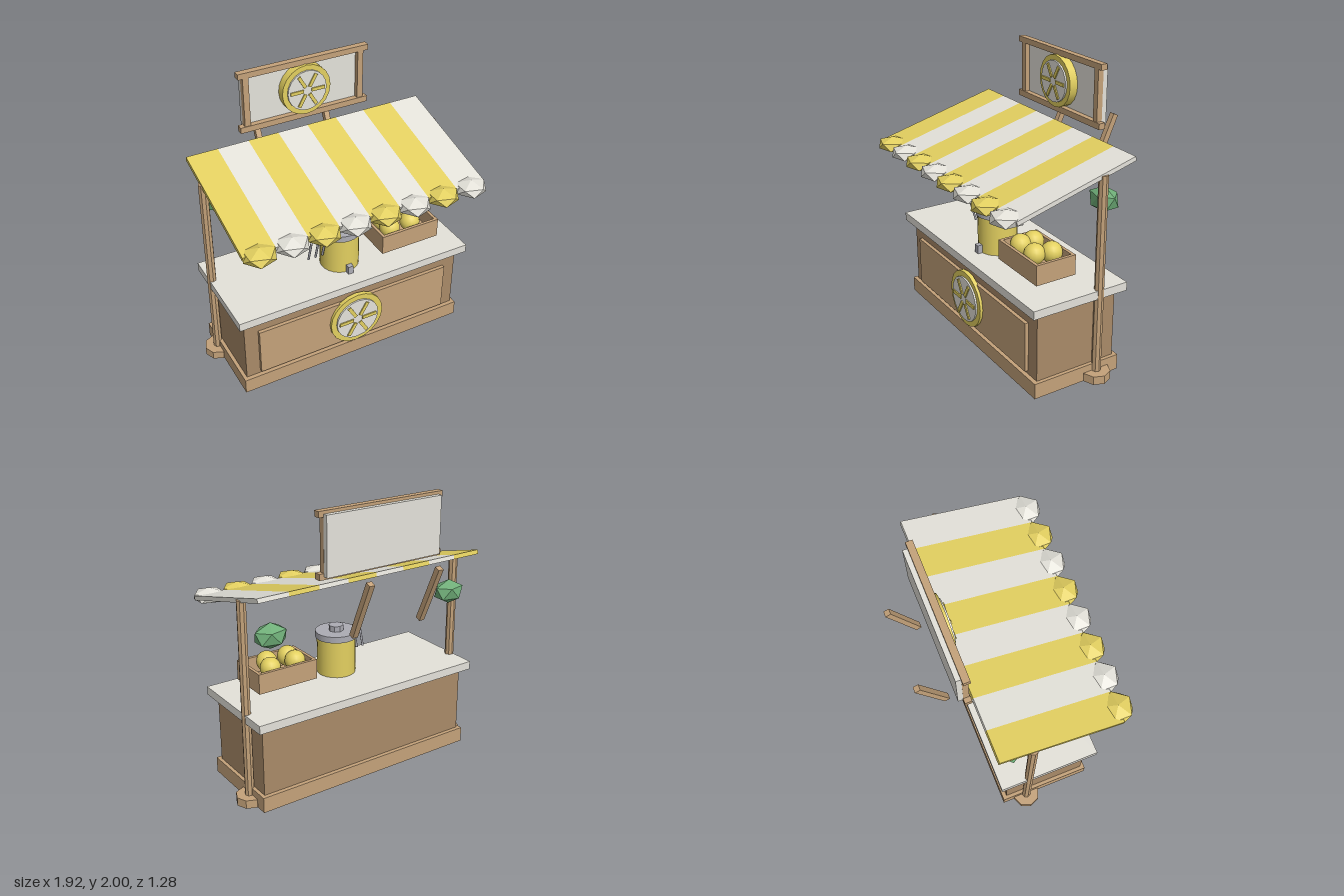
import * as THREE from 'three';

const mat = (color, flatShading = false) => new THREE.MeshStandardMaterial({ color, flatShading });
const wood = mat(0xc4a27a), darkWood = mat(0xa98a68), white = mat(0xe4e2da), yellow = mat(0xe3d060);
const metal = mat(0xacacb4), flatWood = mat(0xc4a27a, true), flatMetal = mat(0xacacb4, true);
const flatYellow = mat(0xe3d060, true), flatWhite = mat(0xe4e2da, true), leaf = mat(0x6fae78, true);

export function createModel() {
  const model = new THREE.Group();

  const add = (name, geometry, material, x, y, z, parent = model) => {
    const mesh = new THREE.Mesh(geometry, material);
    mesh.name = name;
    mesh.position.set(x, y, z);
    parent.add(mesh);
    return mesh;
  };
  // box given by its min/max on each axis
  const box = (name, material, x0, x1, y0, y1, z0, z1, parent) =>
    add(name, new THREE.BoxGeometry(x1 - x0, y1 - y0, z1 - z0), material,
      (x0 + x1) / 2, (y0 + y1) / 2, (z0 + z1) / 2, parent);
  // upright cylinder standing on y0
  const post = (name, material, r, sides, x, y0, y1, z) =>
    add(name, new THREE.CylinderGeometry(r, r, y1 - y0, sides), material, x, (y0 + y1) / 2, z);
  // icosahedron with one corner pointing up
  const gem = (name, material, x, y, z, sx, sy, sz) =>
    add(name, new THREE.IcosahedronGeometry(1, 0).rotateZ(-Math.atan(0.618034)).scale(sx, sy, sz), material, x, y, z);

  // counter
  box('plinth', wood, -0.86, 0.86, 0, 0.11, -0.26, 0.4);
  box('counterBody', darkWood, -0.835, 0.835, 0.11, 0.6, -0.23, 0.37);
  box('frontPanel', wood, -0.735, 0.735, 0.135, 0.49, 0.36, 0.395);
  box('counterTop', white, -0.885, 0.885, 0.6, 0.66, -0.29, 0.43);

  // citrus slice badge: rind, flesh and six segments, stacked towards +z
  const slice = (name, r, y, z, back) => {
    const group = new THREE.Group();
    group.name = name;
    group.position.set(0, y, z);
    model.add(group);
    const disc = (part, radius, z0, z1, material) =>
      add(part, new THREE.CylinderGeometry(radius, radius, z1 - z0, 20).rotateX(Math.PI / 2), material,
        0, 0, (z0 + z1) / 2, group);
    disc('rind', r, -back, -0.02, yellow);
    disc('flesh', r * 0.8, -0.03, -0.008, white);
    for (let i = 0; i < 6; i++) {
      const a = i * Math.PI / 3, d = r * 0.44;
      const bar = add('segment', new THREE.BoxGeometry(r * 0.54, r * 0.13, 0.014), yellow,
        d * Math.cos(a), d * Math.sin(a), -0.007, group);
      bar.rotation.z = a;
    }
  };
  slice('counterBadge', 0.205, 0.33, 0.435, 0.05);
  slice('signBadge', 0.18, 1.785, -0.29, 0.085);

  // posts, feet, hanging plants and sign supports, mirrored
  for (const s of [-1, 1]) {
    post('post', flatWood, 0.032, 8, s * 0.865, 0, 1.44, -0.08);
    post('postFoot', flatWood, 0.097, 8, s * 0.863, 0, 0.06, -0.08);
    gem('hangingPlant', leaf, s * 0.73, 1.21, -0.195, 0.123, 0.088, 0.09);
    const support = add('signSupport', new THREE.BoxGeometry(0.04, 0.432, 0.04), wood, s * 0.27, 1.378, -0.528);
    support.rotation.x = -0.42;
  }

  // striped awning with scalloped front edge
  for (let i = 0; i < 8; i++) {
    const x = -0.77 + i * 0.22, odd = i % 2;
    const stripe = add('awningStripe', new THREE.BoxGeometry(0.22, 0.03, 0.893), odd ? white : yellow, x, 1.387, 0.116);
    stripe.rotation.x = 0.263;
    gem('awningScallop', odd ? flatWhite : flatYellow, x, 1.268, 0.55, 0.12, 0.056, 0.115);
  }

  // sign
  box('signBoard', white, -0.445, 0.445, 1.587, 1.98, -0.41, -0.37);
  box('signTopRail', wood, -0.48, 0.48, 1.96, 2, -0.377, -0.33);
  box('signBottomRail', wood, -0.48, 0.48, 1.568, 1.61, -0.377, -0.33);
  for (const s of [-1, 1])
    box('signStile', wood, s * 0.425 - 0.021, s * 0.425 + 0.021, 1.61, 1.96, -0.375, -0.335);

  // drink dispenser
  post('dispenserJar', yellow, 0.137, 24, 0, 0.66, 0.93, 0.15);
  post('dispenserLid', metal, 0.148, 24, 0, 0.925, 0.97, 0.15);
  post('lidKnob', flatMetal, 0.052, 8, 0, 0.97, 1.01, 0.15);
  box('spigot', metal, -0.02, 0.02, 0.66, 0.72, 0.25, 0.32);

  // drinking straws
  for (let i = 0; i < 3; i++) {
    const straw = post('straw', metal, 0.008, 8, -0.253 + i * 0.053, 0.777, 0.947, 0.2);
    straw.rotation.x = 0.28;
  }

  // fruit crate
  const [x0, x1, z0, z1] = [0.262, 0.715, 0, 0.3], t = 0.022;
  box('crateFloor', wood, x0 + t, x1 - t, 0.72, 0.745, z0 + t, z1 - t);
  box('crateFront', wood, x0, x1, 0.72, 0.862, z1 - t, z1);
  box('crateBack', wood, x0, x1, 0.72, 0.862, z0, z0 + t);
  box('crateSide', wood, x0, x0 + t, 0.72, 0.862, z0 + t, z1 - t);
  box('crateSide', wood, x1 - t, x1, 0.72, 0.862, z0 + t, z1 - t);
  for (const [x, z] of [[0.375, 0.2], [0.375, 0.1], [0.54, 0.2], [0.575, 0.09]])
    add('fruit', new THREE.SphereGeometry(0.072, 16, 12), yellow, x, 0.848, z);

  return model;
}
